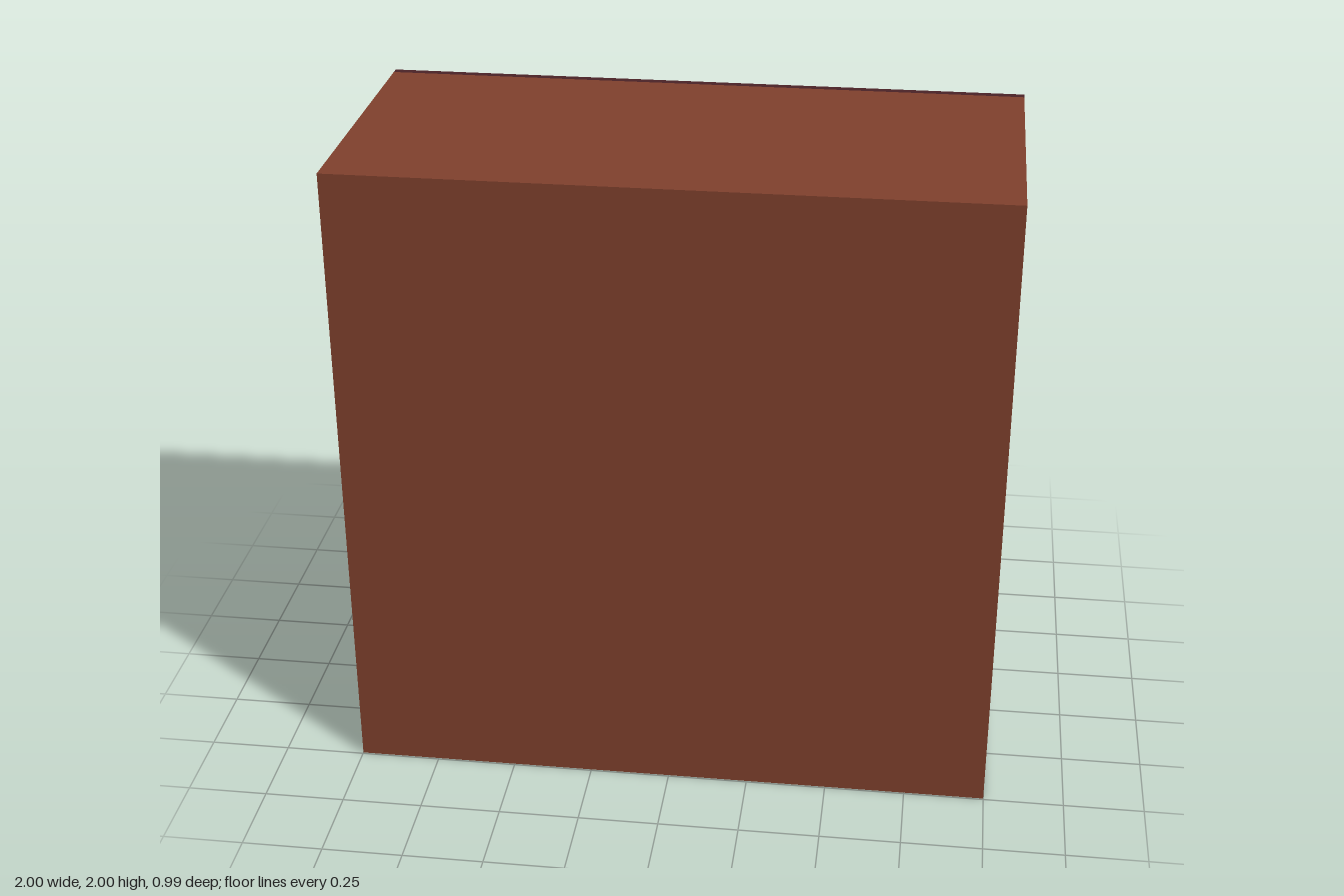
import * as THREE from 'three';

export function createModel() {
  const model = new THREE.Group();
  const wood = new THREE.MeshStandardMaterial({ color: 0x80412d });
  wood.name = 'reddish brown wood';
  const dark = new THREE.MeshStandardMaterial({ color: 0x4a2227 });
  dark.name = 'dark brown wood';

  const FRONT = 0.495, PANEL = -0.42, BACK = -0.443, RAIL = 0.143;

  const add = (name, geometry, material, x, y, z) => {
    const mesh = new THREE.Mesh(geometry, material);
    mesh.name = name;
    mesh.position.set(x, y, z);
    model.add(mesh);
    return mesh;
  };

  // Cabinet body; its back face is the recessed door panel
  add('cabinetBody', new THREE.BoxGeometry(2, 2, FRONT - PANEL), wood, 0, 1, (FRONT + PANEL) / 2);

  // Mitred door frame: one trapezoid turned to each of the four sides
  const mitre = new THREE.Shape([
    new THREE.Vector2(-1, -1), new THREE.Vector2(1, -1),
    new THREE.Vector2(1 - RAIL, -1 + RAIL), new THREE.Vector2(-1 + RAIL, -1 + RAIL),
  ]);
  ['bottomRail', 'leftStile', 'topRail', 'rightStile'].forEach((name, i) => {
    const isRail = i % 2 === 0;
    // Stiles match the body; the dark rails stand slightly proud of it
    const depth = PANEL - BACK + (isRail ? 0.003 : 0);
    const geometry = new THREE.ExtrudeGeometry(mitre, { depth, bevelEnabled: false });
    const piece = add(name, geometry, isRail ? dark : wood, 0, 1, PANEL - depth);
    piece.rotation.z = i * Math.PI / 2;
  });

  // Door knob on the left stile
  add('doorKnob', new THREE.BoxGeometry(0.095, 0.11, 0.052), dark, 0.934, 1.003, -0.469);

  return model;
}
